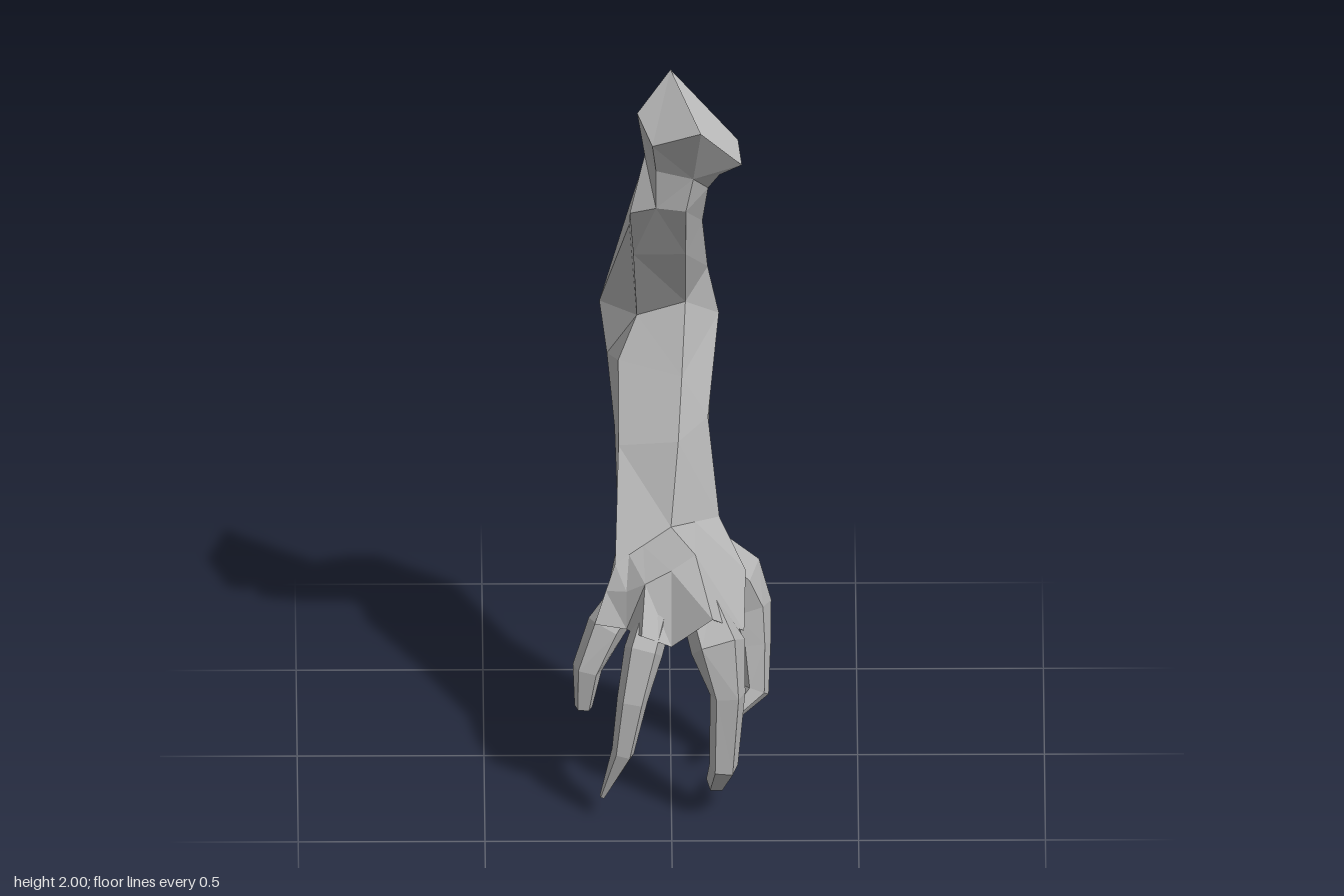
import * as THREE from 'three';

// Flat-shaded mesh from a list of triangles (each three points)
function facets(name, tris, material) {
  const geo = new THREE.BufferGeometry();
  geo.setAttribute('position', new THREE.Float32BufferAttribute(tris.flat(2), 3));
  geo.computeVertexNormals();
  const mesh = new THREE.Mesh(geo, material);
  mesh.name = name;
  return mesh;
}

const distance = (p, q) => Math.hypot(p[0] - q[0], p[1] - q[1], p[2] - q[2]);

// Triangles joining successive rings, split along the shorter diagonal;
// rings run anticlockwise seen from the start
function loft(rings) {
  const tris = [];
  for (let k = 0; k + 1 < rings.length; k++) {
    const a = rings[k], b = rings[k + 1], n = a.length;
    for (let i = 0; i < n; i++) {
      const j = (i + 1) % n;
      if (distance(a[i], b[j]) < distance(a[j], b[i])) tris.push([a[i], b[i], b[j]], [a[i], b[j], a[j]]);
      else tris.push([a[i], b[i], a[j]], [a[j], b[i], b[j]]);
    }
  }
  return tris;
}

// Fan that closes the far end of a loft
const endCap = (ring, c) => ring.map((p, i) => [p, c, ring[(i + 1) % ring.length]]);

// Point part of the way from p to q
const between = (p, q, t) => p.map((v, i) => v + (q[i] - v) * t);

// Rings of a tapering digit along a path of [x, y, z, radius]
function digitRings(path, sides = 5) {
  const pts = path.map(p => new THREE.Vector3(p[0], p[1], p[2]));
  return path.map((p, k) => {
    const t = pts[Math.min(k + 1, pts.length - 1)].clone().sub(pts[Math.max(k - 1, 0)]).normalize();
    const u = new THREE.Vector3(1, 0, 0).addScaledVector(t, -t.x).normalize();
    const v = u.clone().cross(t);
    return Array.from({ length: sides }, (_, i) => {
      const a = (i + 0.25) / sides * Math.PI * 2;
      return pts[k].clone().addScaledVector(u, Math.cos(a) * p[3])
        .addScaledVector(v, Math.sin(a) * p[3]).toArray();
    });
  });
}

export function createModel() {
  const group = new THREE.Group();
  const grey = new THREE.MeshStandardMaterial({ color: 0xb3b3b3, flatShading: true });
  grey.name = 'grey skin';

  // Arm cross-sections, each: front-left, front-right, right, back-right, back-left, left
  const shoulder = [[-.05, 1.91, .145], [.08, 1.97, .19], [.19, 1.81, .06], [.18, 1.86, .01], [0, 2, -.13], [-.09, 1.93, -.01]];
  const neck = [[-.04, 1.81, .095], [.06, 1.78, .085], [.13, 1.77, .04], [.12, 1.83, -.06], [-.02, 1.87, -.10], [-.07, 1.81, .0]];
  const armpit = [[-.04, 1.69, .08], [.04, 1.68, .08], [.10, 1.71, 0], [.08, 1.74, -.10], [-.06, 1.77, -.11], [-.11, 1.66, .05]];
  const biceps = [[-.10, 1.5, -.02], [.04, 1.5, -.02], [.085, 1.57, -.08], [.08, 1.6, -.13], [-.11, 1.57, -.17], [-.11, 1.55, -.10]];
  const elbowTop = [[-.09, 1.24, -.17], [.04, 1.28, -.17], [.10, 1.36, -.22], [.02, 1.34, -.365], [-.12, 1.26, -.415], [-.19, 1.24, -.255]];
  const elbowLow = [[-.14, 1.13, -.12], [.03, 1.1, -.08], [.13, 1.21, -.24], [.12, 1.18, -.31], [-.04, 1.09, -.37], [-.17, 1.1, -.22]];
  const forearm = [[-.14, .93, -.01], [.02, .95, .01], [.10, .98, -.08], [.10, .88, -.15], [-.07, .85, -.2], [-.15, .93, -.12]];
  const wrist = [[-.15, .66, .16], [0, .74, .10], [.13, .72, 0], [.12, .66, -.08], [-.08, .66, -.07], [-.14, .67, .03]];

  // Shoulder end with its ridge and hollow
  const [c, b, f, g, a, d] = shoulder, hollow = [.047, 1.89, .07];
  group.add(facets('shoulderCap', [[a, d, c], [a, c, b], [a, b, hollow], [hollow, b, f], [hollow, f, g], [hollow, g, a]], grey));
  group.add(facets('upperArm', loft([shoulder, neck, armpit, biceps, elbowTop]), grey));
  group.add(facets('elbow', loft([elbowTop, elbowLow]), grey));
  group.add(facets('forearm', loft([elbowLow, forearm, wrist]), grey));

  // Hand cross-sections, each: outer knuckle, web, middle knuckle, valley, hooked knuckle, then the sides and back
  const [w0, w1, w2, ...wristBack] = wrist;
  const handTop = [w0, between(w0, w1, .25), between(w0, w1, .5), w1, between(w1, w2, .5), w2, ...wristBack];
  const palm = [[-.175, .6, .2], [-.12, .61, .225], [-.07, .645, .25], [0, .68, .24], [.065, .715, .215], [.2, .6, .08],
    [.17, .55, -.09], [-.05, .51, -.05], [-.165, .56, .07]];
  const knuckles = [[-.205, .52, .24], [-.12, .51, .25], [-.08, .54, .35], [0, .5, .335], [.11, .6, .37], [.195, .51, .26],
    [.16, .47, -.04], [-.02, .455, .02], [-.195, .5, .17]];
  group.add(facets('hand', [...loft([handTop, palm, knuckles]), ...endCap(knuckles, [0, .53, .17])], grey));

  // Clawed fingers and thumb
  const digits = {
    hookedFinger: [[.08, .58, .24, .06], [.125, .5, .33, .078], [.15, .37, .365, .05], [.14, .16, .375, .04], [.12, .07, .29, .028], [.10, .005, .14, .005]],
    middleFinger: [[-.04, .57, .24, .05], [-.075, .48, .32, .055], [-.105, .35, .36, .043], [-.13, .2, .37, .032], [-.185, .06, .355, .008]],
    outerFinger: [[-.11, .57, .15, .05], [-.175, .49, .2, .055], [-.225, .38, .23, .042], [-.235, .265, .23, .025]],
    thumb: [[.07, .65, .01, .06], [.17, .53, -.005, .085], [.21, .45, .01, .065], [.225, .36, .045, .045], [.23, .24, .085, .035], [.155, .175, .135, .013]],
  };
  for (const [name, path] of Object.entries(digits)) {
    const rings = digitRings(path), tip = path[path.length - 1].slice(0, 3);
    group.add(facets(name, [...loft(rings), ...endCap(rings[rings.length - 1], tip)], grey));
  }
  return group;
}
